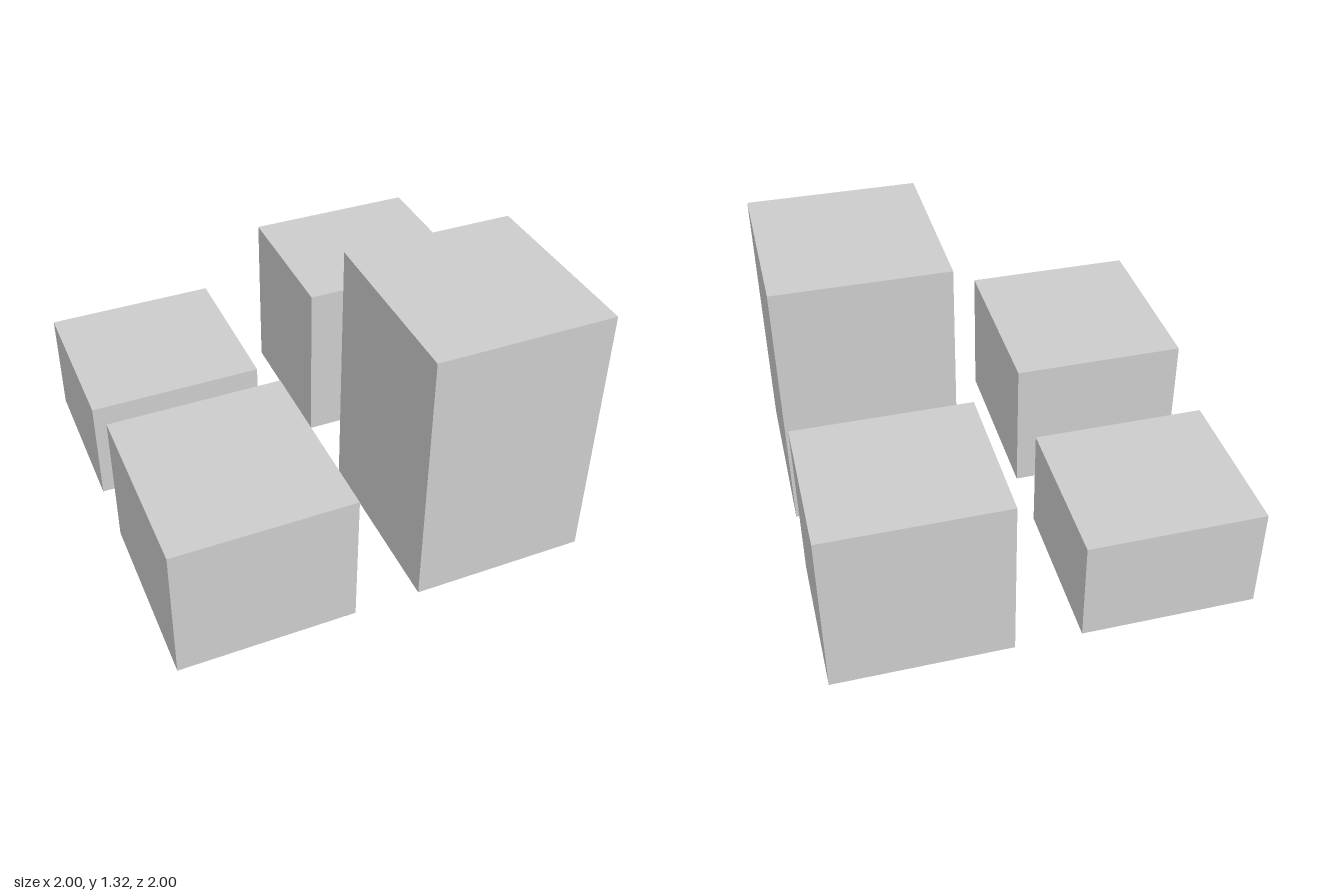
import * as THREE from 'three';

export function createModel() {
  const group = new THREE.Group();
  const material = new THREE.MeshStandardMaterial({ color: 0xcccccc, flatShading: true });

  // Adds a block standing on the ground between the given x and z limits
  function addBlock(name, x0, x1, z0, z1, height) {
    const mesh = new THREE.Mesh(new THREE.BoxGeometry(x1 - x0, height, z1 - z0), material);
    mesh.name = name;
    mesh.position.set((x0 + x1) / 2, height / 2, (z0 + z1) / 2);
    group.add(mesh);
  }

  // Four separate blocks around a cross-shaped gap
  const inner = 0.158;
  addBlock('frontTallBlock', inner, 1, 0.105, 1, 1.317);
  addBlock('frontLowBlock', -1, -inner, 0.105, 1, 0.685);
  addBlock('backMediumBlock', inner, 1, -1, -0.264, 0.843);
  addBlock('backLowBlock', -1, -inner, -1, -0.211, 0.528);

  return group;
}
